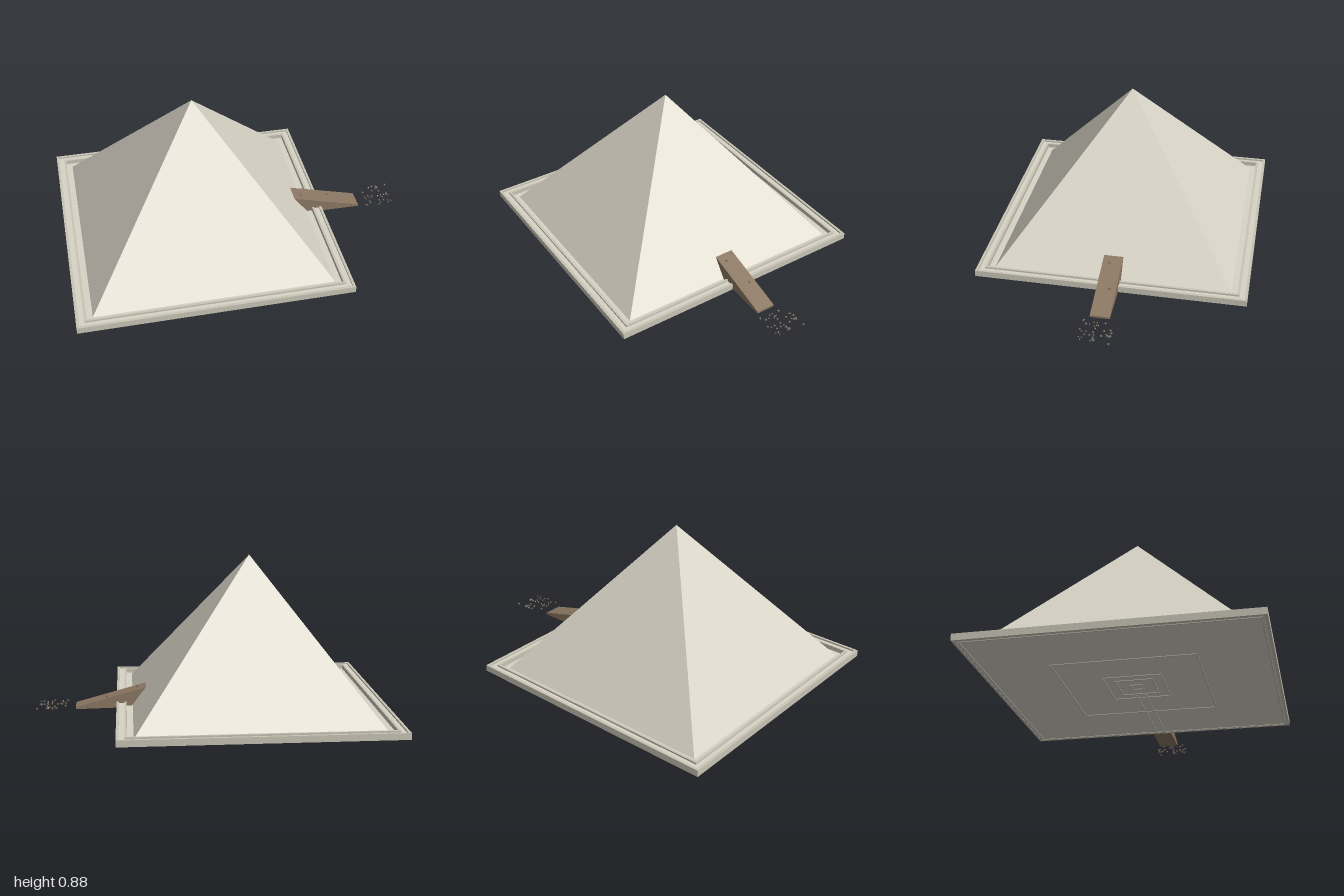
import * as THREE from 'three';

const mat = (name, color, flatShading = true) => {
  const m = new THREE.MeshStandardMaterial({ color, flatShading });
  m.name = name;
  return m;
};

export function createModel() {
  const model = new THREE.Group();
  model.name = 'pyramidComplex';
  const casing = mat('pale limestone', 0xd8d3c6);
  const wall = mat('wall stone', 0xc8c4b5);
  const earth = mat('brown earth', 0x8b7762);
  const rubble = mat('dark rubble', 0x77675a);
  const CX = -0.23;

  const add = (name, geo, material, x, y, z, parent = model) => {
    const mesh = new THREE.Mesh(geo, material);
    mesh.name = name;
    mesh.position.set(x, y, z);
    parent.add(mesh);
    return mesh;
  };

  // Square frame lying flat, between two half-widths
  const frame = (name, outer, inner, y, height, material) => {
    const square = (Type, h) => new Type([[-h, -h], [h, -h], [h, h], [-h, h]].map(p => new THREE.Vector2(...p)));
    const shape = square(THREE.Shape, outer);
    shape.holes.push(square(THREE.Path, inner));
    const geo = new THREE.ExtrudeGeometry(shape, { depth: height, bevelEnabled: false });
    geo.rotateX(-Math.PI / 2);
    return add(name, geo, material, CX, y, 0);
  };

  // Pyramid body
  const cone = new THREE.ConeGeometry(0.68 * Math.SQRT2, 0.87, 4, 1);
  cone.rotateY(Math.PI / 4);
  add('pyramid', cone, casing, CX, 0.445, 0);

  // Courtyard floor, terrace and the two enclosure walls
  add('courtyardFloor', new THREE.BoxGeometry(1.52, 0.01, 1.52), casing, CX, 0.009, 0);
  frame('outerWall', 0.77, 0.755, 0.003, 0.037, wall);
  frame('terrace', 0.756, 0.724, 0.012, 0.018, casing);
  frame('innerWall', 0.725, 0.712, 0.012, 0.028, wall);

  // Foundation outlines of the chambers underneath
  for (const [outer, inner] of [[0.745, 0.735], [0.385, 0.375], [0.16, 0.152], [0.105, 0.095], [0.035, 0.027]]) {
    frame('foundationOutline', outer, inner, 0.001, 0.004, wall);
  }
  for (const z of [-0.025, 0.025]) {
    add('passageEdge', new THREE.BoxGeometry(0.65, 0.004, 0.006), wall, 0.215, 0.003, z);
  }

  // Entrance ramp running out of the side face
  const profile = new THREE.Shape();
  profile.moveTo(0.37, 0.122);
  profile.lineTo(0.46, 0.005);
  profile.lineTo(0.775, 0);
  profile.lineTo(0.775, 0.012);
  const rampGeo = new THREE.ExtrudeGeometry(profile, { depth: 0.11, bevelEnabled: false });
  add('ramp', rampGeo, earth, 0, 0, -0.055);

  // Stones on the ramp
  const pebble = new THREE.DodecahedronGeometry(0.007);
  add('rampStone', pebble, rubble, 0.42, 0.112, 0.015);
  add('rampStone', pebble, rubble, 0.595, 0.063, -0.02);

  // Rubble scattered past the foot of the ramp
  let seed = 17;
  const rand = () => (seed = (seed * 16807) % 2147483647) / 2147483647;
  const scatter = new THREE.Group();
  scatter.name = 'rubble';
  model.add(scatter);
  for (let i = 0; i < 36; i++) {
    const x = i === 0 ? 0.993 : 0.81 + rand() * 0.18;
    const s = add('stone', pebble, rubble, x, 0.017, -0.09 + rand() * 0.175, scatter);
    s.scale.setScalar(i === 0 ? 1 : 0.65 + rand() * 0.4);
    if (i > 0) s.rotation.y = rand() * 6;
  }
  return model;
}
